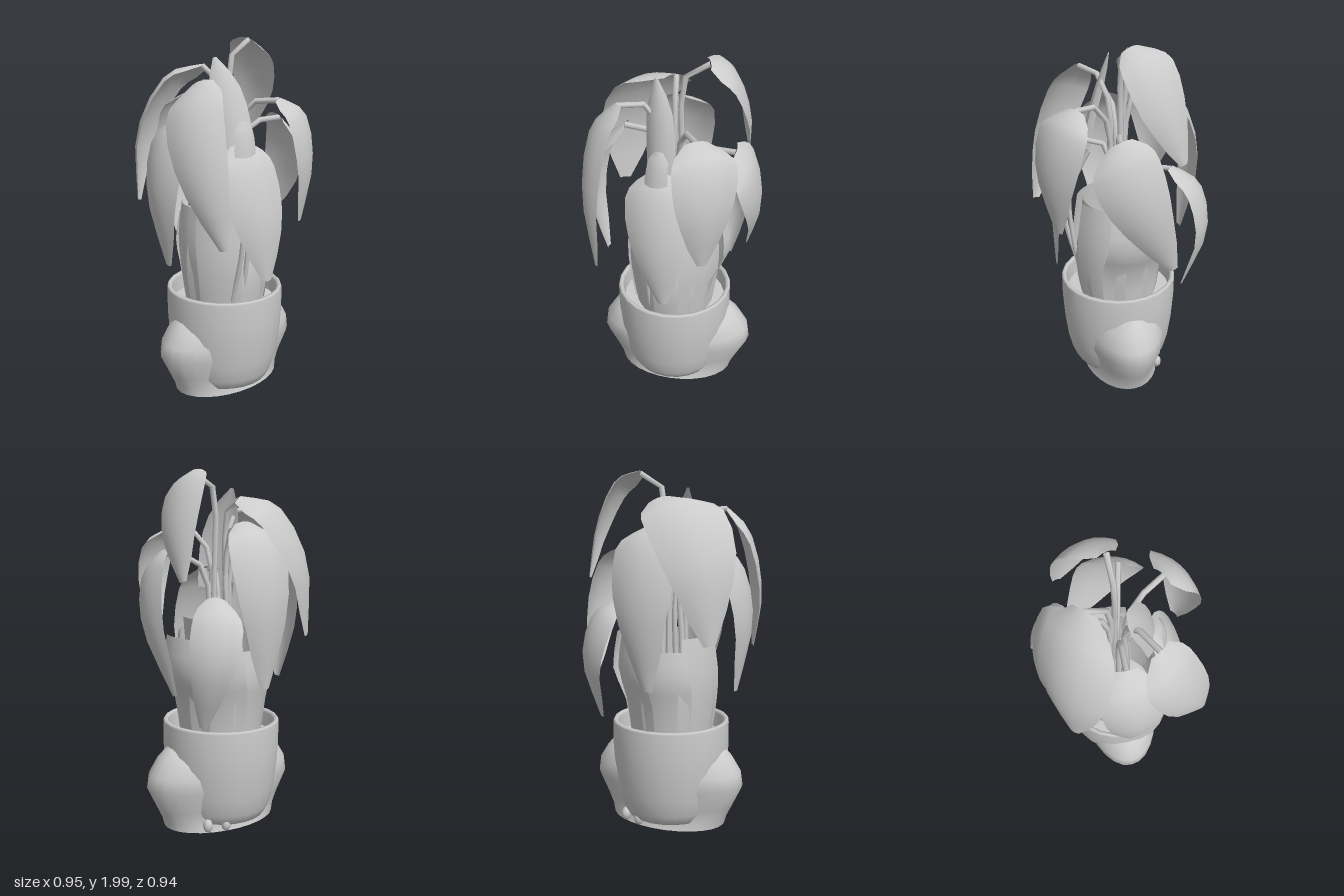
import * as THREE from 'three';

const mat = new THREE.MeshStandardMaterial({ color: 0xcccccc });
const thin = new THREE.MeshStandardMaterial({ color: 0xcccccc, side: THREE.DoubleSide });
const V = (p) => new THREE.Vector3(...p);

function addMesh(parent, name, geometry, material = mat) {
  const mesh = new THREE.Mesh(geometry, material);
  mesh.name = name;
  parent.add(mesh);
  return mesh;
}

// Surface from a grid of points: point(i, j) for rows i and columns j
function gridSurface(rows, cols, point) {
  const pos = [], index = [];
  for (let i = 0; i <= rows; i++) {
    for (let j = 0; j <= cols; j++) {
      pos.push(...point(i, j));
      if (i < rows && j < cols) {
        const a = i * (cols + 1) + j, b = a + cols + 1;
        index.push(a, b, a + 1, a + 1, b, b + 1);
      }
    }
  }
  const geo = new THREE.BufferGeometry();
  geo.setAttribute('position', new THREE.Float32BufferAttribute(pos, 3));
  geo.setIndex(index);
  geo.computeVertexNormals();
  return geo;
}

// Curved blade along a midrib; its edges fold back towards the plant
function blade(points, width, profile, cup) {
  const curve = new THREE.CatmullRomCurve3(points.map(V));
  const rows = profile.length - 1, cols = 6;
  const mid = curve.getPoint(0.5);
  const out = new THREE.Vector3(mid.x, 0, mid.z).normalize();
  const side = points.at(-1).map((v, k) => v - points[0][k]);
  const across = V(side).cross(out).normalize();
  return gridSurface(rows, cols, (i, j) => {
    const t = i / rows, s = (j / cols) * 2 - 1;
    const normal = across.clone().cross(curve.getTangent(t)).normalize();
    const half = profile[i] * width / 2;
    return curve.getPoint(t)
      .addScaledVector(across, s * half)
      .addScaledVector(normal, -cup * half * s * s);
  });
}

const LEAF = [0.36, 0.76, 0.94, 1.02, 1.02, 0.93, 0.75, 0.5, 0.16];
const SHEATH = [0.8, 0.88, 0.96, 1, 1, 0.95, 0.85];

// Drooping leaves: base to tip, then width
const leaves = [
  [[[-0.02, 1.85, -0.16], [-0.18, 1.8, -0.25], [-0.34, 1.5, -0.33], [-0.37, 1.1, -0.32]], 0.43],
  [[[0.18, 1.99, -0.01], [0.29, 1.93, -0.08], [0.375, 1.7, -0.16], [0.38, 1.42, -0.25]], 0.29],
  [[[0.18, 1.33, -0.25], [0.25, 1.23, -0.38], [0.31, 0.98, -0.42], [0.29, 0.65, -0.3]], 0.26],
  [[[0.34, 1.56, 0.08], [0.43, 1.46, 0.08], [0.48, 1.2, -0.01], [0.41, 0.82, -0.2]], 0.35],
  [[[0.16, 1.69, 0.27], [0.23, 1.62, 0.37], [0.25, 1.36, 0.43], [0.22, 1.03, 0.39]], 0.34],
  [[[-0.03, 1.46, 0.18], [-0.06, 1.36, 0.28], [-0.04, 1.05, 0.37], [0, 0.72, 0.37]], 0.34],
  [[[-0.27, 1.8, 0.15], [-0.38, 1.68, 0.2], [-0.42, 1.35, 0.32], [-0.35, 0.98, 0.42]], 0.31],
  [[[-0.27, 1.62, -0.01], [-0.4, 1.5, -0.01], [-0.47, 1.2, 0], [-0.4, 0.8, 0]], 0.31],
  [[[-0.03, 1.72, -0.2], [-0.02, 1.63, -0.36], [-0.02, 1.3, -0.45], [-0.04, 0.84, -0.39]], 0.35],
];

// Upright sheaths: angle from the front, top height, width, lean of the top
const sheaths = [
  [5, 1.1, 0.26, 0.2], [50, 1.12, 0.3, 0.24], [95, 1.1, 0.34, 0.31],
  [145, 1.1, 0.32, 0.28], [198, 1.03, 0.28, 0.26], [250, 1.1, 0.32, 0.24], [305, 1.1, 0.32, 0.23],
];

export function createModel() {
  const model = new THREE.Group();

  // Pot with a rounded bottom and a thin rim
  const potProfile = [
    [0, 0.025], [0.2, 0.025], [0.255, 0.045], [0.285, 0.1], [0.31, 0.2], [0.328, 0.34],
    [0.335, 0.45], [0.335, 0.59], [0.328, 0.602], [0.313, 0.602], [0.306, 0.585], [0.3, 0.46],
  ].map(([x, y]) => new THREE.Vector2(x, y));
  addMesh(model, 'pot', new THREE.LatheGeometry(potProfile, 24));
  const soil = addMesh(model, 'soil', new THREE.CircleGeometry(0.31, 24));
  soil.rotation.x = -Math.PI / 2;
  soil.position.y = 0.5;

  // Flat-bottomed foot that swells out of both sides of the pot: y, half x, half z
  const foot = [
    [0.49, 0.28, 0.04], [0.46, 0.34, 0.14], [0.4, 0.39, 0.21], [0.32, 0.44, 0.24],
    [0.24, 0.452, 0.24], [0.12, 0.395, 0.205], [0.05, 0.36, 0.205], [0, 0.345, 0.22],
  ];
  addMesh(model, 'sideBulges', gridSurface(foot.length - 1, 28, (i, j) => {
    const [y, rx, rz] = foot[i], a = (j / 28) * Math.PI * 2;
    return [0.015 + rx * Math.sin(a), y, rz * Math.cos(a)];
  }), thin);
  const sole = addMesh(model, 'sole', new THREE.CircleGeometry(1, 28));
  sole.rotation.x = Math.PI / 2;
  sole.scale.set(0.345, 0.22, 1);
  sole.position.set(0.015, 0, 0);
  for (const [x, z] of [[0.2, -0.19], [0.1, -0.22]]) {
    const nub = addMesh(model, 'footNub', new THREE.SphereGeometry(0.028, 8, 6));
    nub.position.set(x, 0.045, z);
    nub.scale.y = 1.4;
  }

  // Broad sheaths standing in the pot
  for (const [deg, top, width, lean] of sheaths) {
    const a = THREE.MathUtils.degToRad(deg);
    const at = (r, y) => [r * Math.sin(a), y, r * Math.cos(a)];
    const path = [at(lean, top), at(lean + 0.02, (top + 0.7) / 2), at(0.25, 0.72), at(0.22, 0.48)];
    addMesh(model, 'sheath', blade(path, width, SHEATH, 0.25), thin);
  }

  // Inner sheath leaning out to the back
  const inner = [[0.22, 1.2, -0.13], [0.16, 0.95, -0.09], [0.1, 0.7, -0.05], [0.07, 0.48, -0.03]];
  addMesh(model, 'innerSheath', blade(inner, 0.28, SHEATH, 0.2), thin);

  // Drooping leaves, each on a bent stem
  for (const [path, width] of leaves) {
    addMesh(model, 'leaf', blade(path, width, LEAF, 0.27), thin);
    const [x, y, z] = path[0];
    const stem = new THREE.CatmullRomCurve3([
      [x * 0.3, 0.5, z * 0.3], [x * 0.25, y - 0.55, z * 0.25], [x * 0.2, y - 0.22, z * 0.2],
      [x * 0.45, y - 0.04, z * 0.45], [x, y - 0.012, z],
    ].map(V));
    addMesh(model, 'stem', new THREE.TubeGeometry(stem, 10, 0.016, 6));
  }

  // Bowed stems reaching over the front of the pot
  for (const [x, r] of [[-0.11, 0.29], [-0.05, 0.27]]) {
    const bow = new THREE.CatmullRomCurve3([
      [x, 0.5, 0.18], [x, 0.68, 0.23], [x, 0.88, r - 0.01], [x, 1.13, r], [x, 1.27, r - 0.06], [x * 0.6, 1.38, 0.16],
    ].map(V));
    addMesh(model, 'bowedStem', new THREE.TubeGeometry(bow, 10, 0.014, 6));
  }

  // Young upright leaf and a small curled shoot at the front
  const young = [[-0.09, 1.9, 0.03], [-0.075, 1.74, 0.1], [-0.06, 1.55, 0.16], [-0.06, 1.33, 0.2]];
  addMesh(model, 'youngLeaf', blade(young, 0.19, [0.1, 0.6, 0.9, 1, 1, 0.95, 0.85], 0.3), thin);
  const shoot = [[-0.04, 1.58, 0.21], [-0.05, 1.5, 0.24], [-0.06, 1.35, 0.26]];
  addMesh(model, 'shoot', blade(shoot, 0.13, [0.3, 0.8, 0.9, 1, 0.9], 0.3), thin);

  return model;
}
